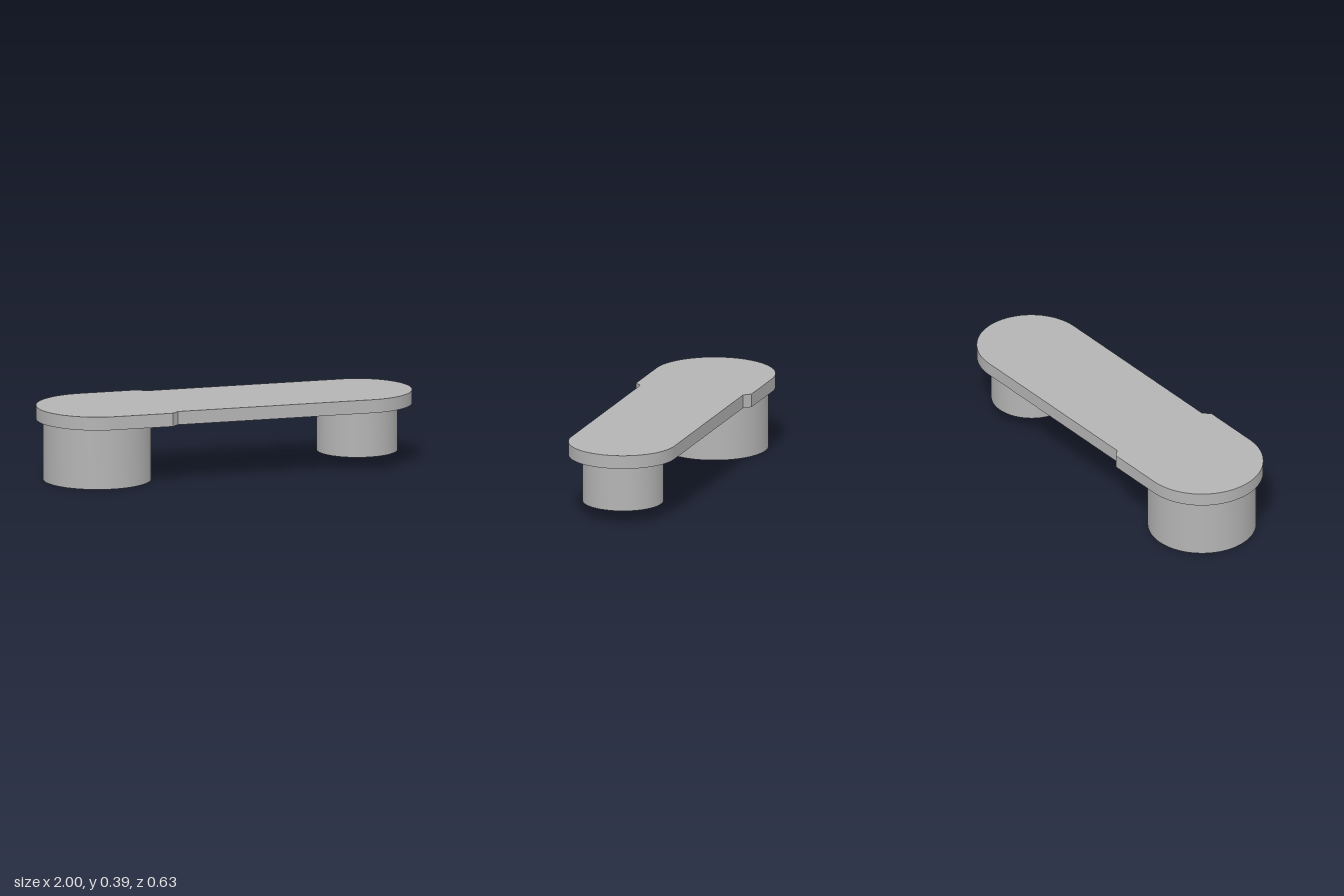
import * as THREE from 'three';
import { toCreasedNormals } from 'three/addons/utils/BufferGeometryUtils.js';

const TOP = 0.388, UNDERSIDE = 0.318, BORE_FLOOR = 0.246;

export function createModel() {
  const group = new THREE.Group();
  const grey = new THREE.MeshStandardMaterial({ color: 0xb4b4b4 });
  grey.name = 'plain grey';

  const add = (name, geometry, x = 0) => {
    const mesh = new THREE.Mesh(toCreasedNormals(geometry, 0.5), grey);
    mesh.name = name;
    mesh.position.x = x;
    group.add(mesh);
  };

  // Flat plate: two round ends of different widths joined by a small chamfered step
  const wide = 0.316, narrow = 0.281, wideX = -0.684, narrowX = 0.719;
  const outline = new THREE.Shape();
  outline.moveTo(wideX, -wide);
  outline.lineTo(-0.37, -wide);
  outline.lineTo(-0.335, -narrow);
  outline.lineTo(narrowX, -narrow);
  outline.absarc(narrowX, 0, narrow, -Math.PI / 2, Math.PI / 2, false);
  outline.lineTo(-0.335, narrow);
  outline.lineTo(-0.37, wide);
  outline.lineTo(wideX, wide);
  outline.absarc(wideX, 0, wide, Math.PI / 2, Math.PI * 1.5, false);
  const plate = new THREE.ExtrudeGeometry(outline, {
    depth: TOP - UNDERSIDE, bevelEnabled: false, curveSegments: 40,
  });
  plate.rotateX(Math.PI / 2).translate(0, TOP, 0);
  add('plate', plate);

  // Hollow round bosses under each end, with blind bores open at the bottom
  const boss = (outer, inner, bottom) => new THREE.LatheGeometry([
    [0, BORE_FLOOR], [inner, BORE_FLOOR], [inner, bottom], [outer, bottom], [outer, UNDERSIDE],
  ].map(([r, y]) => new THREE.Vector2(r, y)), 72);
  add('largeBoss', boss(0.28, 0.218, 0), wideX);
  add('smallBoss', boss(0.209, 0.147, 0.072), 0.716);

  return group;
}
